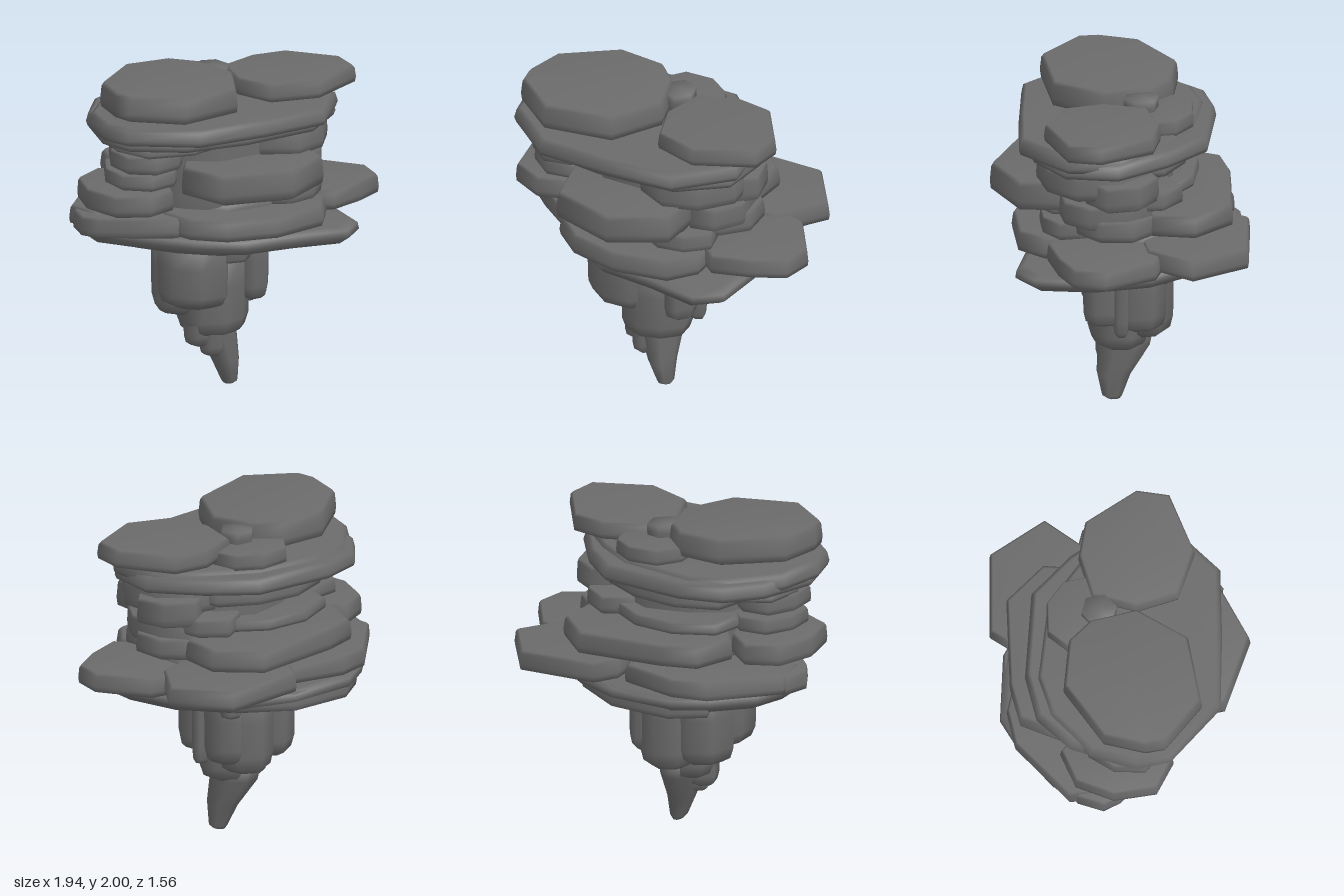
import * as THREE from 'three';

// Ring profiles: [scale, height fraction, lean x, lean z]
const SLAB = [[0.9, 0], [0.985, 0.08], [1, 0.35], [0.98, 0.85], [0.94, 1]];
const BOWL = [[0.8, 0], [0.93, 0.12], [1, 0.5], [0.99, 0.85], [0.92, 1]];
const COLUMN = [[0.6, 0], [0.87, 0.06], [0.98, 0.2], [1, 0.6], [1, 1]];
const TIP = [[0.22, 0, 0.07, 0.07], [0.36, 0.05, 0.07, 0.08], [0.6, 0.35, 0.045, 0.07], [0.92, 0.75, 0.01, 0.01], [1, 1]];

// Closed stone made by stacking scaled copies of an outline of [x, z] points, with slopes along x and z
function stoneGeometry(points, y0, y1, profile, wave, [slopeX, slopeZ]) {
  const n = points.length;
  const cx = points.reduce((s, p) => s + p[0], 0) / n;
  const cz = points.reduce((s, p) => s + p[1], 0) / n;
  const ring = points.map(p => [p[0] - cx, p[1] - cz])
    .sort((a, b) => Math.atan2(a[1], a[0]) - Math.atan2(b[1], b[0]));
  const pos = [], idx = [];
  const add = (x, y, z) => pos.push(x,
    y + wave * Math.sin(4 * x + 3 * z + 9 * y0) + slopeX * (x - cx) + slopeZ * (z - cz), z);
  profile.forEach(([s, t, dx = 0, dz = 0]) =>
    ring.forEach(([x, z]) => add(cx + x * s + dx, y0 + (y1 - y0) * t, cz + z * s + dz)));
  const last = profile.length - 1, bottom = n * profile.length, top = bottom + 1;
  const [, , bx = 0, bz = 0] = profile[0];
  add(cx + bx, y0 - 0.004, cz + bz);
  add(cx, y1 + 0.004, cz);
  for (let i = 0; i < n; i++) {
    const j = (i + 1) % n;
    for (let k = 0; k < last; k++) {
      const a = k * n + i, b = k * n + j;
      idx.push(a, a + n, b, b, a + n, b + n);
    }
    idx.push(bottom, i, j, top, last * n + j, last * n + i);
  }
  const g = new THREE.BufferGeometry();
  g.setAttribute('position', new THREE.Float32BufferAttribute(pos, 3));
  g.setIndex(idx);
  g.computeVertexNormals();
  return g;
}

// Slightly uneven oval outline that exactly fills its bounds
function oval(x0, x1, z0, z1, sides = 9, turn = 0.3) {
  const pts = Array.from({ length: sides }, (_, i) => {
    const a = turn + i / sides * Math.PI * 2;
    const r = 1 + 0.05 * Math.sin(i * 2.4 + turn * 5);
    return new THREE.Vector2(Math.cos(a) * r, Math.sin(a) * r);
  });
  const { min, max } = new THREE.Box2().setFromPoints(pts);
  return pts.map(p => [
    THREE.MathUtils.mapLinear(p.x, min.x, max.x, x0, x1),
    THREE.MathUtils.mapLinear(p.y, min.y, max.y, z0, z1)]);
}

export function createModel() {
  const model = new THREE.Group();
  model.name = 'floatingRock';
  const stone = new THREE.MeshStandardMaterial({ color: 0x6b6b6b });
  stone.name = 'darkStone';
  const add = (name, points, y0, y1, profile = SLAB, wave = 0.006, slope = [0, 0]) => {
    const m = new THREE.Mesh(stoneGeometry(points, y0, y1, profile, wave, slope), stone);
    m.name = name;
    model.add(m);
  };

  // Top slabs and pebbles
  add('topLeftSlab', [[-0.83, -0.1], [-0.5, -0.34], [-0.2, -0.31], [-0.07, -0.18], [0, 0.1], [-0.18, 0.41],
    [-0.6, 0.49], [-0.87, 0.27], [-0.89, 0.15]], 1.82, 1.985, SLAB, 0.006, [-0.02, 0]);
  add('topRightSlab', [[0.09, -0.17], [0.35, -0.25], [0.57, -0.21], [0.77, 0.1], [0.74, 0.3], [0.38, 0.45],
    [0.1, 0.35], [0.02, 0.1]], 1.815, 1.93);
  add('topPebble', oval(-0.1, 0.09, -0.23, -0.02, 6), 1.84, 1.955, COLUMN);
  add('topBackStone', oval(-0.23, 0.24, -0.44, -0.05, 8), 1.78, 1.88);

  // Wide upper ledge, two overlapping sheets
  add('upperLedge', [[-0.94, 0.1], [-0.86, -0.18], [-0.62, -0.42], [-0.38, -0.5], [0.1, -0.44], [0.36, -0.25],
    [0.58, -0.02], [0.61, 0.3], [0.32, 0.6], [-0.1, 0.61], [-0.57, 0.6], [-0.9, 0.3]],
    1.69, 1.8, SLAB, 0.006, [0, 0.02]);
  add('upperLedgeBase', [[-0.92, 0.05], [-0.8, -0.3], [-0.62, -0.5], [-0.35, -0.57], [0.18, -0.53], [0.42, -0.3],
    [0.62, 0], [0.58, 0.32], [0.3, 0.52], [-0.2, 0.55], [-0.6, 0.5], [-0.87, 0.28]],
    1.655, 1.76, SLAB, 0.006, [0, -0.015]);

  // Upper waist stones
  add('waistRightStone', oval(-0.06, 0.57, -0.22, 0.5, 9), 1.5, 1.66);
  add('waistLeftStone', oval(-0.83, -0.4, -0.16, 0.32, 8), 1.49, 1.6);
  add('waistLeftCap', oval(-0.82, -0.02, -0.3, 0.4, 9), 1.59, 1.66);
  add('waistBackStone', oval(-0.55, 0.3, -0.42, 0.1, 9), 1.54, 1.65);
  add('waistSideStone', oval(0.2, 0.63, -0.24, 0.2, 7), 1.45, 1.61);
  add('waistBackRight', oval(0.05, 0.48, -0.38, 0.05, 7), 1.39, 1.5);
  add('waistCore', oval(-0.55, 0.42, -0.32, 0.38, 11), 1.05, 1.75);

  // Middle ledges
  add('frontSlab', [[-0.51, 0.3], [-0.44, 0.63], [-0.02, 0.78], [0.31, 0.6], [0.33, 0.3], [0.15, 0.02],
    [-0.3, 0.02]], 1.33, 1.515);
  add('middleLeftStone', oval(-0.84, -0.4, -0.2, 0.27, 8), 1.375, 1.47);
  add('middleRightStone', oval(0.2, 0.58, -0.2, 0.36, 8), 1.31, 1.46);
  add('middleBackStone', oval(-0.55, 0.25, -0.47, 0.1, 9), 1.39, 1.465);
  add('lowerLeftSlab', oval(-0.97, -0.44, -0.36, 0.32, 8, 0.1), 1.225, 1.36);
  add('lowerRightSlab', oval(0.05, 0.6, -0.25, 0.3, 9), 1.24, 1.37);
  add('lowerFrontStone', oval(-0.35, 0.3, 0.05, 0.58, 9), 1.3, 1.39);
  add('lowerFrontPebble', oval(0.02, 0.46, 0.1, 0.48, 8), 1.2, 1.31);
  add('lowerBackSlab', [[-0.5, -0.6], [-0.28, -0.66], [0.28, -0.68], [0.5, -0.46], [0.48, -0.2], [0.1, 0],
    [-0.4, -0.05], [-0.6, -0.35]], 1.24, 1.38);
  add('lowerThinSheet', oval(-0.55, 0.5, -0.5, 0.42, 11), 1.18, 1.25);

  // Broad lower ledge
  add('broadFrontSlab', [[-0.58, 0.2], [-0.5, -0.2], [-0.1, -0.45], [0.35, -0.3], [0.43, 0.15], [0.43, 0.45],
    [0.3, 0.61], [-0.05, 0.65], [-0.36, 0.57], [-0.53, 0.42]], 1.07, 1.205);
  add('broadLeftSlab', [[-0.97, -0.1], [-0.92, -0.26], [-0.62, -0.42], [-0.3, -0.2], [-0.3, 0.3], [-0.55, 0.33],
    [-0.77, 0.15], [-0.92, 0]], 1.06, 1.185, SLAB, 0.006, [0.03, 0]);
  add('rightSlab', [[0.32, -0.1], [0.5, -0.3], [0.78, -0.23], [0.97, 0.07], [0.93, 0.26], [0.74, 0.36],
    [0.5, 0.43], [0.3, 0.25]], 1.085, 1.21, SLAB, 0.006, [-0.02, 0]);
  add('backRightSlab', [[0.11, -0.78], [0.62, -0.78], [0.84, -0.45], [0.64, -0.17], [0.3, -0.1], [0.04, -0.3],
    [0.02, -0.64]], 1.1, 1.23);
  add('backLeftSlab', [[-0.92, -0.3], [-0.58, -0.63], [-0.36, -0.68], [0, -0.6], [0.1, -0.3], [-0.4, -0.05],
    [-0.9, -0.05]], 1.07, 1.19);

  // Underside ledges
  add('undersideLedge', [[-0.88, -0.15], [-0.8, -0.4], [-0.58, -0.6], [-0.38, -0.72], [0.04, -0.7], [0.4, -0.5],
    [0.6, -0.2], [0.67, 0.15], [0.63, 0.5], [0.48, 0.62], [0.15, 0.56], [-0.2, 0.53], [-0.45, 0.38], [-0.68, 0.12]],
    0.945, 1.06, BOWL, 0, [-0.02, -0.02]);
  add('undersideBackSlab', [[-0.56, -0.58], [-0.36, -0.71], [0.04, -0.7], [0.35, -0.5], [0.3, -0.2],
    [-0.4, -0.15]], 0.945, 1.06);
  add('undersidePlate', oval(-0.6, 0.5, -0.54, 0.42, 11), 0.92, 0.99);

  // Hanging columns, narrowing to the tip
  add('leftColumn', oval(-0.48, -0.02, -0.16, 0.26, 8), 0.54, 0.97, COLUMN, 0, [-0.08, 0]);
  add('backLeftColumn', oval(-0.45, -0.08, -0.29, 0.08, 7), 0.47, 0.97, COLUMN, 0);
  add('backColumn', oval(-0.24, 0.13, -0.32, -0.02, 7), 0.42, 0.97, COLUMN, 0);
  add('rightColumn', oval(0.02, 0.22, -0.05, 0.22, 7), 0.54, 0.97, COLUMN, 0);
  add('rightBackColumn', oval(-0.02, 0.21, -0.28, 0.02, 7), 0.5, 0.97, COLUMN, 0);
  add('rightPillar', oval(0.11, 0.24, -0.06, 0.04, 6), 0.48, 0.97, COLUMN, 0);
  add('centreColumn', oval(-0.3, 0.13, -0.19, 0.2, 9), 0.33, 0.85, COLUMN, 0);
  add('frontKnob', oval(-0.18, 0.06, 0.06, 0.27, 6), 0.81, 0.96, COLUMN, 0);
  add('backKnob', oval(0.08, 0.22, -0.31, -0.18, 6), 0.82, 0.96, COLUMN, 0);
  add('lowerLeftColumn', oval(-0.29, -0.08, -0.08, 0.12, 6), 0.27, 0.6, COLUMN, 0);
  add('lowerKnob', oval(-0.21, -0.06, -0.02, 0.15, 6), 0.21, 0.5, COLUMN, 0);
  add('tip', oval(-0.2, 0.06, -0.2, 0.14, 8), 0.005, 0.45, TIP, 0);
  return model;
}
